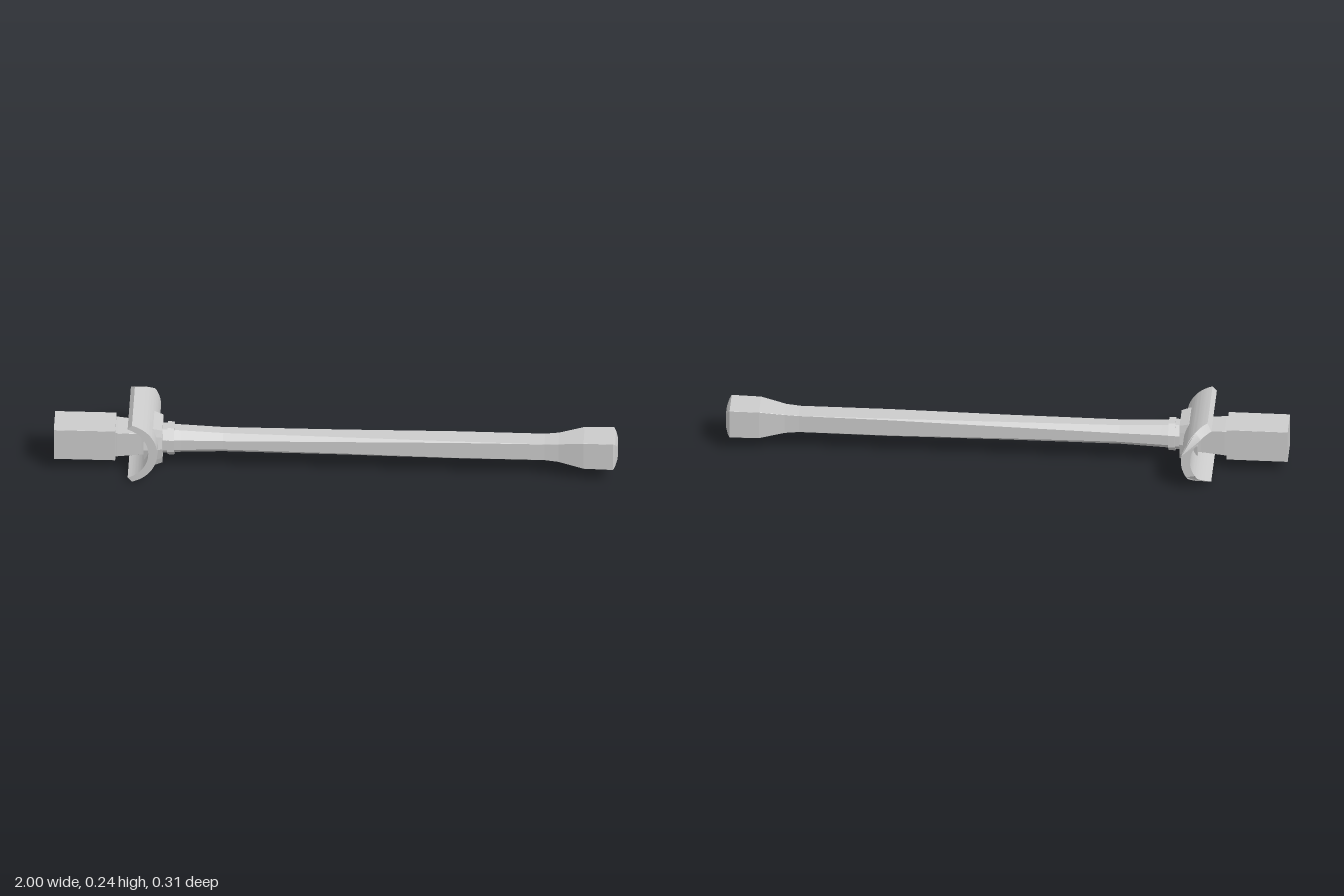
import * as THREE from 'three';
import { toCreasedNormals } from 'three/addons/utils/BufferGeometryUtils.js';

const CY = 0.111, CZ = 0.038; // axis of the handle
const material = new THREE.MeshStandardMaterial({ color: 0xcccccc, flatShading: true });
const smooth = new THREE.MeshStandardMaterial({ color: 0xcccccc });

// Lofts chamfered rectangles along x; each section is [x, halfHeight, halfDepth, chamferY, chamferZ]
function loft(name, sections) {
  const pos = [], index = [], n = 8, last = sections.length - 1;
  for (const [x, h, d, cy = 0.0005, cz = cy] of sections) {
    const ring = [[h - cy, d], [h, d - cz], [h, cz - d], [h - cy, -d],
      [cy - h, -d], [-h, cz - d], [-h, d - cz], [cy - h, d]];
    for (const [y, z] of ring) pos.push(x, y + CY, z + CZ);
  }
  for (let s = 0; s < last; s++) {
    for (let i = 0; i < n; i++) {
      const a = s * n + i, b = s * n + (i + 1) % n;
      index.push(a, b + n, b, a, a + n, b + n);
    }
  }
  for (let i = 1; i < n - 1; i++) {
    index.push(0, i, i + 1);
    index.push(last * n, last * n + i + 1, last * n + i);
  }
  // wind every face outward: the ring runs +z to +y, i.e. clockwise seen from +x
  for (let i = 0; i < index.length; i += 3) {
    [index[i + 1], index[i + 2]] = [index[i + 2], index[i + 1]];
  }
  const indexed = new THREE.BufferGeometry();
  indexed.setAttribute('position', new THREE.Float32BufferAttribute(pos, 3));
  indexed.setIndex(outward(indexed, index));
  const geo = indexed.toNonIndexed();
  geo.computeVertexNormals();
  const mesh = new THREE.Mesh(geo, material);
  mesh.name = name;
  return mesh;
}

// Flips the winding when the enclosed volume comes out negative
function outward(geo, index) {
  const p = geo.attributes.position, o = new THREE.Vector3(0, CY, CZ);
  const v = [new THREE.Vector3(), new THREE.Vector3(), new THREE.Vector3()];
  let volume = 0;
  for (let i = 0; i < index.length; i += 3) {
    v.forEach((q, k) => q.fromBufferAttribute(p, index[i + k]).sub(o));
    volume += v[0].dot(v[1].clone().cross(v[2]));
  }
  return volume < 0 ? index.slice().reverse() : index;
}

// Curved plate: crescent profile swept along z, far corners clipped
function curvedGuard() {
  const shape = new THREE.Shape();
  const outer = Math.atan2(0.12, 0.035), inner = Math.atan2(0.104, 0.036);
  shape.absarc(-0.755, 0.12, 0.125, -outer, outer, false);
  shape.absarc(-0.771, 0.12, 0.109, inner, -inner, true);
  shape.closePath();
  const geo = new THREE.ExtrudeGeometry(shape, { depth: 0.314, bevelEnabled: false, curveSegments: 28 });
  geo.translate(0, 0, -0.157);
  const p = geo.attributes.position;
  for (let i = 0; i < p.count; i++) {
    if (p.getZ(i) > 0) continue;
    const t = Math.abs(p.getY(i) - 0.118);
    const clip = t < 0.07 ? 0 : t < 0.1 ? (t - 0.07) * 1.15 : 0.0345 + (t - 0.1) * 1.6;
    p.setZ(i, -0.157 + clip);
  }
  const mesh = new THREE.Mesh(toCreasedNormals(geo, 0.5), smooth);
  mesh.name = 'curvedGuard';
  return mesh;
}

// Faceted seat between the guard and the collar, pointed at both sides
function guardSeat() {
  const half = [[0.057, 0.078], [0.067, 0.05], [0.078, 0], [0.067, -0.05], [0.057, -0.078]];
  const pts = [...half, ...half.map(([z, y]) => [-z, -y])];
  const shape = new THREE.Shape(pts.map(([z, y]) => new THREE.Vector2(-z, y)));
  const geo = new THREE.ExtrudeGeometry(shape, { depth: 0.065, bevelEnabled: false, steps: 2 });
  const p = geo.attributes.position;
  for (let i = 0; i < p.count; i++) {
    if (p.getZ(i) > 0.05) p.setXY(i, p.getX(i) * 0.9, p.getY(i) * 0.87);
  }
  geo.rotateY(Math.PI / 2);
  geo.translate(-0.68, CY - 0.002, CZ + 0.002);
  geo.computeVertexNormals();
  const mesh = new THREE.Mesh(geo, material);
  mesh.name = 'guardSeat';
  return mesh;
}

export function createModel() {
  const group = new THREE.Group();

  // square striking block and its tapered neck
  group.add(loft('endBlock', [[-1, 0.062, 0.06], [-0.782, 0.062, 0.06]]));
  group.add(loft('neck', [[-0.79, 0.05, 0.052], [-0.775, 0.05, 0.052], [-0.69, 0.044, 0.046], [-0.64, 0.044, 0.046]]));

  group.add(curvedGuard(), guardSeat());

  // stepped octagonal collar
  group.add(loft('collar', [[-0.64, 0.05, 0.05, 0.029], [-0.598, 0.05, 0.05, 0.029],
    [-0.598, 0.056, 0.054, 0.032], [-0.574, 0.056, 0.054, 0.032]]));

  // long shaft, octagonal by the collar and square at the flared head
  group.add(loft('shaft', [
    [-0.6, 0.048, 0.048, 0.028],
    [-0.55, 0.046, 0.045, 0.026],
    [-0.4, 0.039, 0.04, 0.021],
    [0, 0.037, 0.037, 0.013],
    [0.42, 0.036, 0.036, 0.004],
    [0.74, 0.034, 0.034],
    [0.79, 0.038, 0.037],
    [0.88, 0.054, 0.053],
    [0.985, 0.055, 0.055],
    [0.992, 0.046, 0.046],
    [1, 0.027, 0.027],
  ]));

  return group;
}
